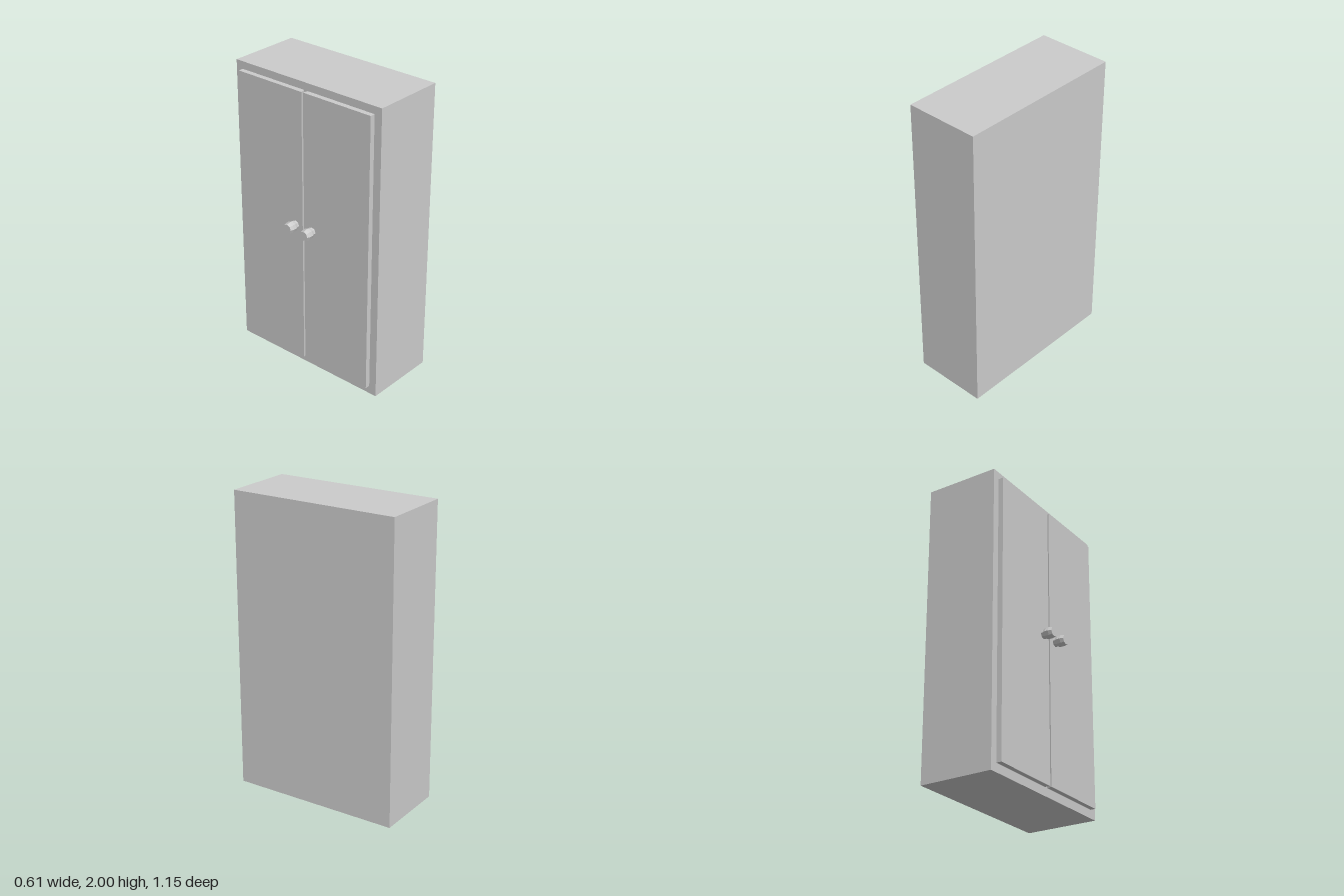
import * as THREE from 'three';

export function createModel() {
  const model = new THREE.Group();
  model.name = 'wardrobe';
  const material = new THREE.MeshStandardMaterial({ color: 0xcccccc, flatShading: true });

  function add(name, geometry, x, y, z) {
    const mesh = new THREE.Mesh(geometry, material);
    mesh.name = name;
    mesh.position.set(x, y, z);
    model.add(mesh);
  }

  // Cabinet body
  add('cabinet', new THREE.BoxGeometry(0.498, 2, 1.15), 0.054, 1, -0.001);

  // Octagonal knob profile: radius, distance out from the door
  const knobProfile = [
    [0.03, 0], [0.03, 0.012], [0.038, 0.032], [0.038, 0.055], [0.031, 0.078], [0, 0.078],
  ].map(([r, h]) => new THREE.Vector2(r, h));

  // Two doors on the -x side, each with a bevelled meeting edge and a knob
  for (const side of [-1, 1]) {
    const name = side < 0 ? 'right' : 'left';
    const outline = new THREE.Shape([
      [-0.23, 0.006], [-0.195, 0.014], [-0.195, 0.523], [-0.23, 0.523],
    ].map(([x, z]) => new THREE.Vector2(x, -side * z)));
    const door = new THREE.ExtrudeGeometry(outline, { depth: 1.893, bevelEnabled: false });
    door.rotateX(-Math.PI / 2);
    add(name + 'Door', door, 0, 0.057, -0.002);

    const knob = new THREE.LatheGeometry(knobProfile, 8);
    knob.rotateZ(Math.PI / 2);
    add(name + 'Knob', knob, -0.23, 1.035, side * 0.069);
  }

  return model;
}
